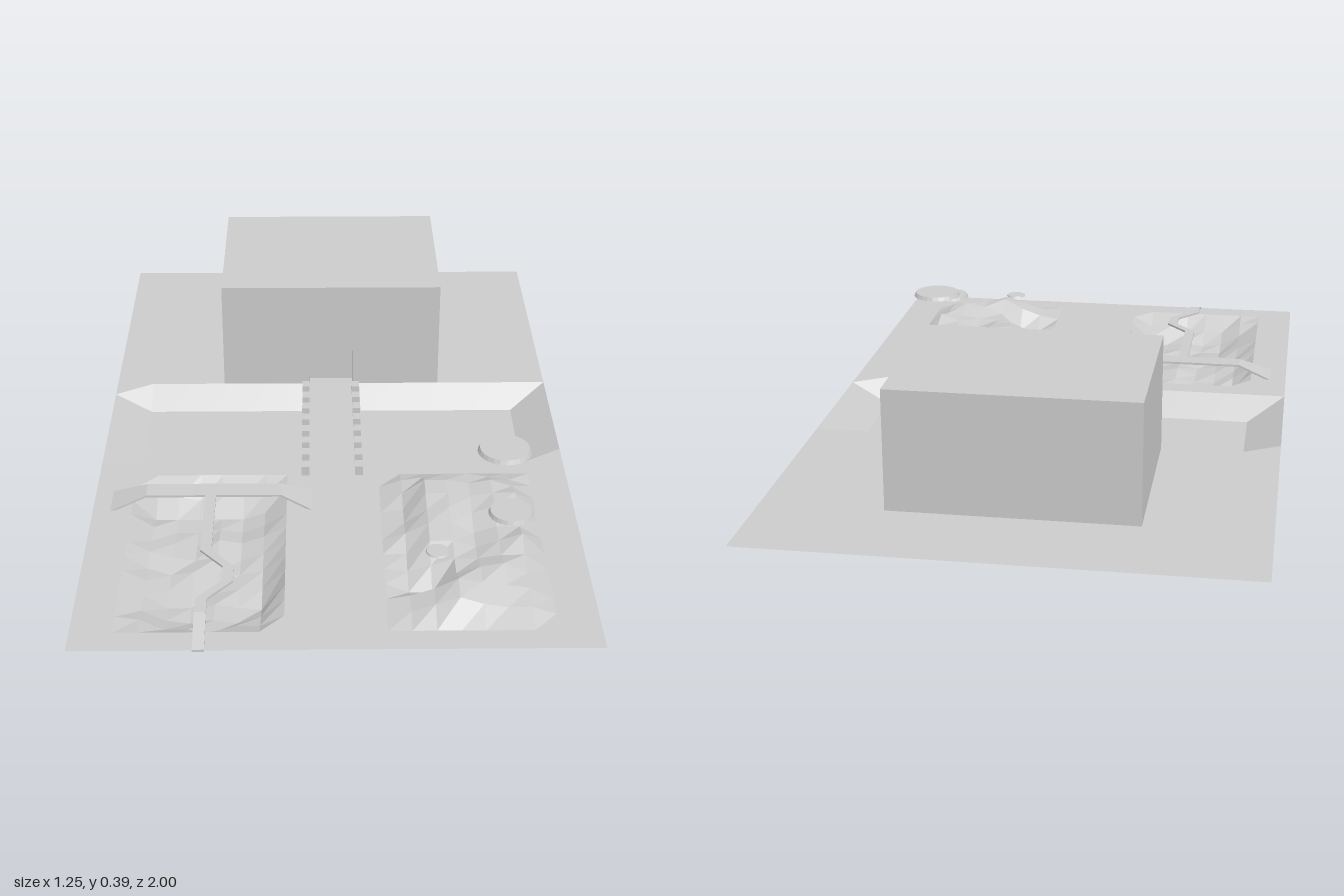
import * as THREE from 'three';

const G = 0.077; // ground level
const material = () => new THREE.MeshStandardMaterial({ color: 0xcccccc, flatShading: true, side: THREE.DoubleSide });

function add(group, name, geometry, x = 0, y = 0, z = 0) {
  const mesh = new THREE.Mesh(geometry, material());
  mesh.name = name;
  mesh.position.set(x, y, z);
  group.add(mesh);
  return mesh;
}

function meshFrom(vertices, index) {
  const geo = new THREE.BufferGeometry();
  geo.setAttribute('position', new THREE.Float32BufferAttribute(vertices, 3));
  geo.setIndex(index);
  const flat = geo.toNonIndexed();
  flat.computeVertexNormals();
  return flat;
}

// Height offsets in hundredths, rows run from back to front, columns from -x to +x
const PIT = [
  [-3, -3, -4, -3, -3, -2],
  [-6, -6, -6, -6, -6, -4],
  [-4, -6, -6, -5, -6, -4],
  [-4, -5, -6, -4, -5, -3],
  [-3, -5, -6, -5, -6, -4],
  [-4, -6, -5, -6, -6, -5],
  [-3, -6, -6, -7, -6, -6],
  [-3, -7, -7, -6, -7, -7.6],
  [-3, -6, -7, -6, -7, -5],
  [-1, -4, -4, -5, -3, -3],
];
const HILL = [
  [2, 3, 4, 4, 3, 2],
  [2, 6, 6, 5, 6, 4],
  [1, 6, 6, 5, 6, 6],
  [1, 5, 6, 4, 6, 5],
  [2, 5, 5, 2, 4, 4],
  [0, 4, 4, 2, 4, 6],
  [-1, 1, 3, 3, 4, 4],
  [-2.7, -2.7, 3, 5, 6, 3],
  [1, 3, 6, 5, 4, 3],
  [1, 3, 5, 3, 2, 2],
];

// Ground sheet with a moat, a rocky pit and a hill
function groundGeometry() {
  const side = [];
  for (let i = 0; i <= 7; i++) side.push(0.122 + (i * 0.402) / 7);
  side.push(0.625);
  const xs = [...side.map((x) => -x).reverse(), ...side];
  const zs = [-1, -0.25, -0.19, 0.125, 0.19];
  for (let j = 0; j <= 11; j++) zs.push(0.25 + j * 0.062);
  zs.push(1);

  const height = (i, j) => {
    if (j === 2 || j === 3) return i === 0 || i === xs.length - 1 ? G : 0.0175;
    const row = j - 6;
    const offset = PIT[row]?.[i - 2] ?? HILL[row]?.[i - 10] ?? 0;
    return G + offset / 100;
  };

  const vertices = [], index = [], n = xs.length;
  zs.forEach((z, j) => xs.forEach((x, i) => {
    vertices.push(x, height(i, j), z);
    if (i < n - 1 && j < zs.length - 1) {
      const a = j * n + i, b = a + n;
      index.push(a, b, a + 1, a + 1, b, b + 1);
    }
  }));
  return meshFrom(vertices, index);
}

// Thin slab through cross-sections [x1, z1, x2, z2, topY]
function slabGeometry(sections, t = 0.006) {
  const vertices = [], index = [];
  sections.forEach(([x1, z1, x2, z2, y], s) => {
    vertices.push(x1, y, z1, x2, y, z2, x2, y - t, z2, x1, y - t, z1);
    if (s === 0) return;
    for (let k = 0; k < 4; k++) {
      const a = (s - 1) * 4 + k, b = (s - 1) * 4 + ((k + 1) % 4);
      index.push(a, b, a + 4, b, b + 4, a + 4);
    }
  });
  const e = (sections.length - 1) * 4;
  index.push(0, 2, 1, 0, 3, 2, e, e + 1, e + 2, e, e + 2, e + 3);
  return meshFrom(vertices, index);
}

export function createModel() {
  const model = new THREE.Group();
  model.name = 'castleGrounds';
  add(model, 'ground', groundGeometry());

  // Keep: main block plus a front wall with an arched recess
  const keep = new THREE.Group();
  keep.name = 'keep';
  model.add(keep);
  const H = 0.312, W = 0.3125, depth = 0.03;
  add(keep, 'keepBlock', new THREE.BoxGeometry(2 * W, H, 0.5 - depth), 0, G + H / 2, -0.5 - depth / 2);
  const wall = new THREE.Shape();
  wall.moveTo(-W, 0).lineTo(-0.0625, 0).lineTo(-0.0625, 0.108);
  wall.quadraticCurveTo(0, 0.139, 0.0625, 0.108);
  wall.lineTo(0.0625, 0).lineTo(W, 0).lineTo(W, H).lineTo(-W, H);
  add(keep, 'gateWall', new THREE.ExtrudeGeometry(wall, { depth, bevelEnabled: false, curveSegments: 6 }), 0, G, -0.25 - depth);

  // Causeway over the moat with rows of posts
  const deck = new THREE.PlaneGeometry(0.165, 0.5).rotateX(-Math.PI / 2);
  add(model, 'causeway', deck, 0, G + 0.001, 0);
  const post = new THREE.BoxGeometry(0.021, 0.027, 0.033);
  for (const x of [-0.073, 0.07])
    for (let i = 0; i < 8; i++) add(model, 'causewayPost', post, x, G + 0.0135, 0.237 - i * 0.0622);

  // Footbridge over the pit, flared at both ends
  const bridge = [
    [-0.58, 0.325, 0.095, G], [-0.487, 0.345, 0.055, 0.111],
    [-0.137, 0.345, 0.055, 0.111], [-0.055, 0.325, 0.095, G],
  ];
  add(model, 'footbridge', slabGeometry(bridge.map(([x, z, w, y]) => [x, z, x, z + w, y])));

  // Winding walkway from the footbridge to the front edge
  const path = [
    [-0.319, 0.4, 0.111], [-0.319, 0.645, 0.111], [-0.26, 0.715, 0.111], [-0.26, 0.775, 0.111],
    [-0.319, 0.845, 0.111], [-0.319, 0.9, 0.111], [-0.319, 1, G + 0.002],
  ];
  add(model, 'walkway', slabGeometry(path.map(([x, z, y]) => [x + 0.014, z, x - 0.014, z, y])));

  // Floating discs above the hill
  const discs = [
    [0.435, 0.265, 0.43, 0.069, 0.011],
    [0.435, 0.202, 0.62, 0.056, 0.01],
    [0.247, 0.173, 0.745, 0.029, 0.004],
  ];
  for (const [x, y, z, r, h] of discs)
    add(model, 'floatingDisc', new THREE.CylinderGeometry(r * 0.92, r, h, 24), x, y, z);

  return model;
}
